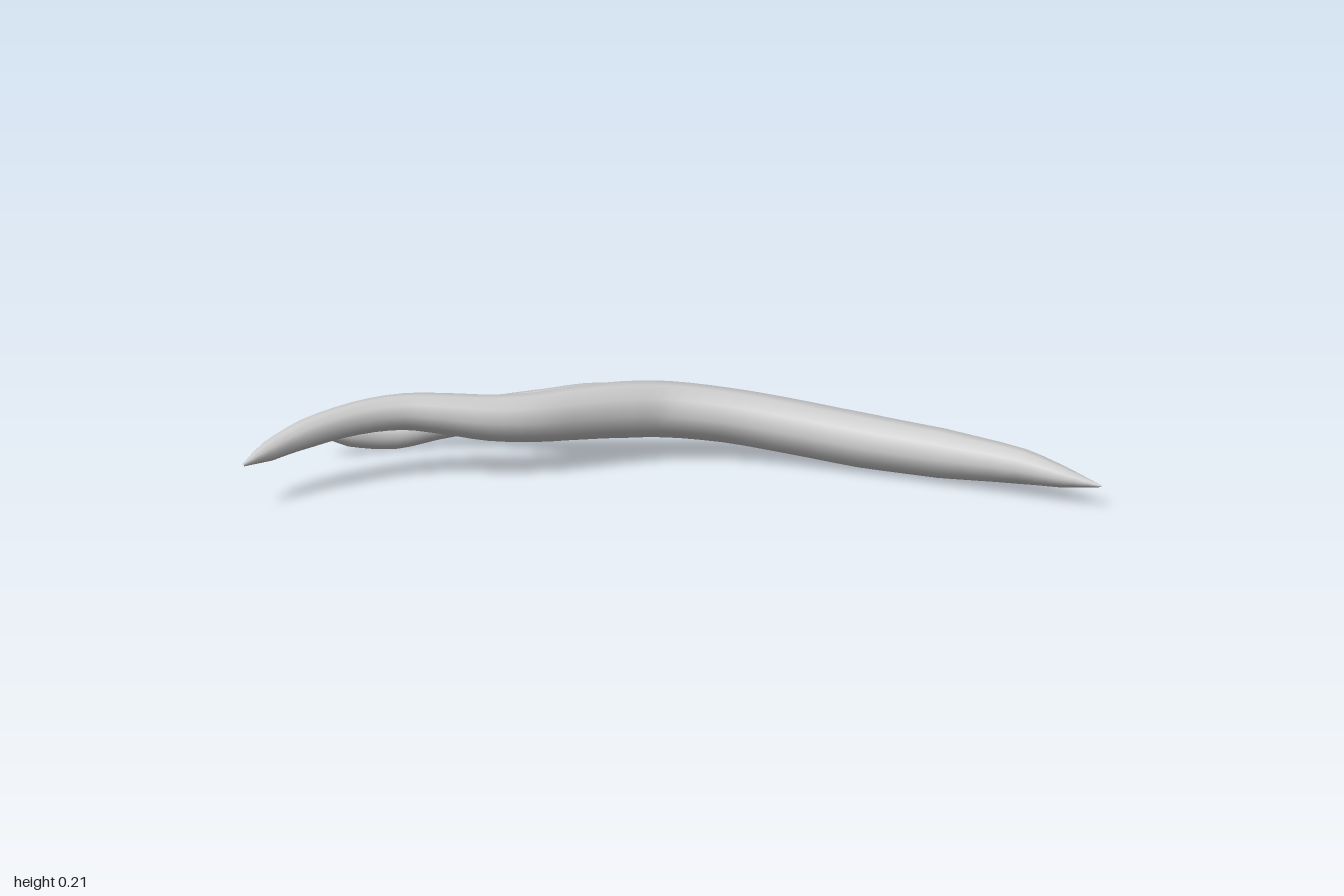
import * as THREE from 'three';

const SIDES = 10;

// Smooth organic tube through stations [x, y, z, radius].
function limb(name, stations, rings, material) {
  const curve = new THREE.CatmullRomCurve3(stations.map(([x, y, z]) => new THREE.Vector3(x, y, z)));
  const last = stations.length - 1;
  const up = new THREE.Vector3(0, 1, 0);
  const pos = [], index = [];
  for (let i = 0; i <= rings; i++) {
    const t = i / rings;
    const c = curve.getPoint(t);
    const tangent = curve.getTangent(t);
    const side = new THREE.Vector3().crossVectors(up, tangent).normalize();
    const lift = new THREE.Vector3().crossVectors(tangent, side);
    // Radius blended linearly between neighbouring stations
    const k = Math.min(Math.floor(t * last), last - 1);
    const r = 1.02 * THREE.MathUtils.lerp(stations[k][3], stations[k + 1][3], t * last - k);
    for (let j = 0; j < SIDES; j++) {
      const a = (j / SIDES) * Math.PI * 2;
      const p = c.clone().addScaledVector(side, r * Math.cos(a)).addScaledVector(lift, r * Math.sin(a));
      pos.push(p.x, p.y, p.z);
      if (i < rings) {
        const n = (j + 1) % SIDES, A = i * SIDES + j, B = i * SIDES + n;
        index.push(A, B, A + SIDES, B, B + SIDES, A + SIDES);
      }
    }
  }
  const geo = new THREE.BufferGeometry();
  geo.setAttribute('position', new THREE.Float32BufferAttribute(pos, 3));
  geo.setIndex(index);
  geo.computeVertexNormals();
  const mesh = new THREE.Mesh(geo, material);
  mesh.name = name;
  return mesh;
}

export function createModel() {
  const group = new THREE.Group();
  group.name = 'forkedBranch';
  const material = new THREE.MeshStandardMaterial({ color: 0xcccccc });

  // Trunk, running on into the front fork
  group.add(limb('trunkAndFrontFork', [
    [0.99, 0.06, -0.05, 0.002],
    [0.9, 0.066, -0.085, 0.025],
    [0.8, 0.074, -0.125, 0.042],
    [0.6, 0.073, -0.197, 0.06],
    [0.4, 0.08, -0.245, 0.067],
    [0.2, 0.1, -0.272, 0.068],
    [0.05, 0.117, -0.275, 0.068],
    [-0.1, 0.13, -0.255, 0.07],
    [-0.2, 0.138, -0.205, 0.07],
    [-0.3, 0.143, -0.14, 0.066],
    [-0.4, 0.146, -0.07, 0.06],
    [-0.5, 0.152, -0.028, 0.056],
    [-0.6, 0.165, 0.002, 0.05],
    [-0.7, 0.174, 0.033, 0.044],
    [-0.8, 0.168, 0.088, 0.04],
    [-0.9, 0.149, 0.175, 0.035],
    [-0.965, 0.127, 0.26, 0.024],
    [-0.998, 0.115, 0.34, 0.003],
  ], 51, material));

  // Rear fork, rooted inside the trunk and drooping below it
  group.add(limb('rearFork', [
    [-0.1, 0.138, -0.25, 0.04],
    [-0.2, 0.14, -0.24, 0.055],
    [-0.3, 0.14, -0.225, 0.053],
    [-0.4, 0.13, -0.213, 0.047],
    [-0.5, 0.108, -0.237, 0.045],
    [-0.6, 0.084, -0.253, 0.043],
    [-0.7, 0.058, -0.24, 0.037],
    [-0.8, 0.037, -0.198, 0.034],
    [-0.9, 0.052, -0.128, 0.027],
    [-0.962, 0.08, -0.065, 0.005],
    [-0.964, 0.081, -0.063, 0.0],
  ], 40, material));

  return group;
}
